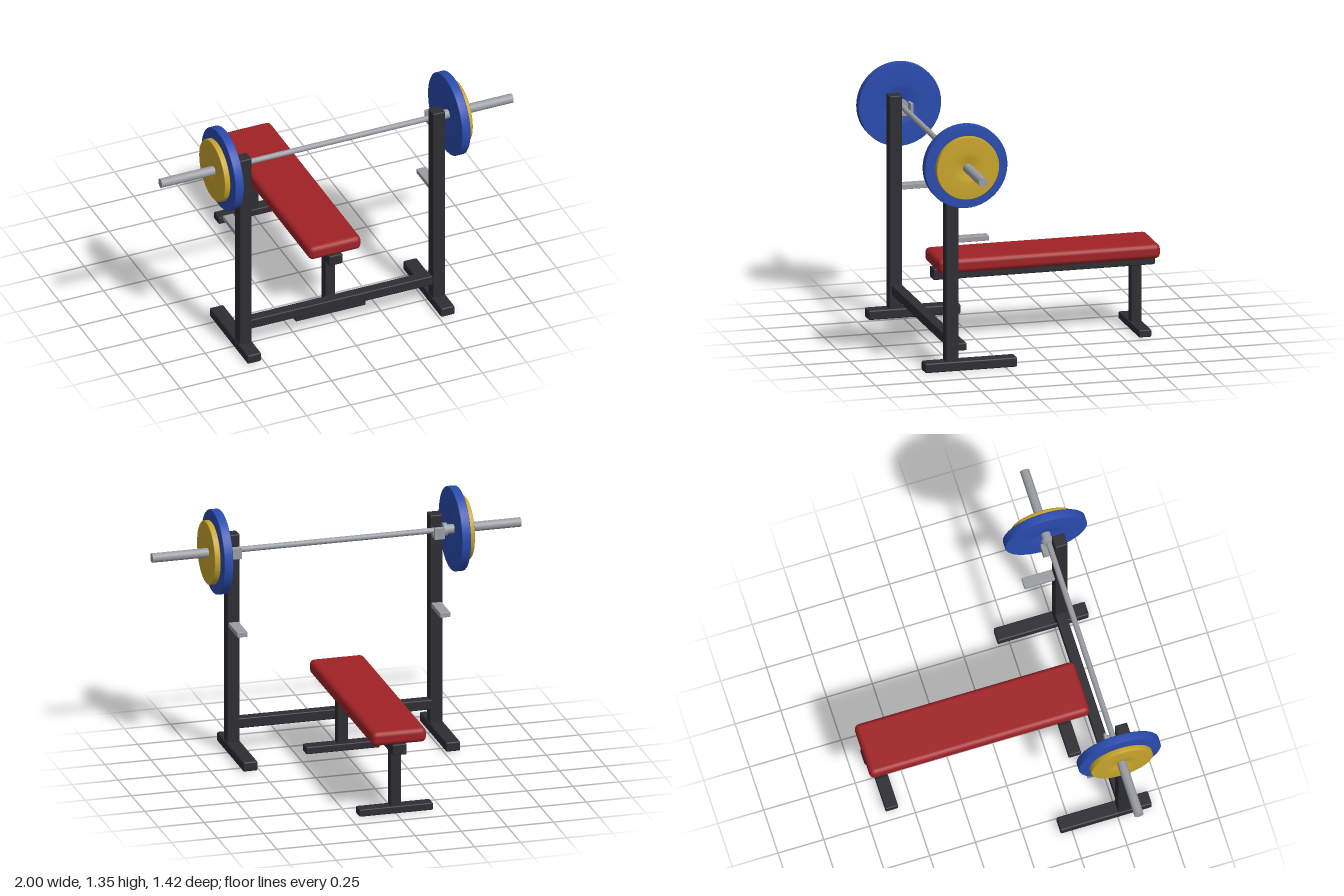
import * as THREE from 'three';
import { RoundedBoxGeometry } from 'three/addons/geometries/RoundedBoxGeometry.js';

const mat = (color) => new THREE.MeshStandardMaterial({ color });
const frameMat = mat(0x2e2e33);
const padMat = mat(0xa02226);
const steelMat = mat(0x9a9ea4);
const blueMat = mat(0x2a4cb0);
const yellowMat = mat(0xc9a62b);

export function createModel() {
  const model = new THREE.Group();
  model.name = 'benchPress';

  const add = (name, geometry, material, x = 0, y = 0, z = 0, parent = model) => {
    const mesh = new THREE.Mesh(geometry, material);
    mesh.name = name;
    mesh.position.set(x, y, z);
    parent.add(mesh);
    return mesh;
  };

  // Softened box given by its limits on each axis
  const box = (name, material, [x0, x1], [y0, y1], [z0, z1], r = 0.006, parent = model) =>
    add(name, new RoundedBoxGeometry(x1 - x0, y1 - y0, z1 - z0, 2, r), material,
      (x0 + x1) / 2, (y0 + y1) / 2, (z0 + z1) / 2, parent);

  // Cylinder along x
  const rod = (name, radius, x0, x1, parent) => {
    const g = new THREE.CylinderGeometry(radius, radius, x1 - x0, 24).rotateZ(-Math.PI / 2);
    return add(name, g, steelMat, (x0 + x1) / 2, 0, 0, parent);
  };

  // Weight plate with dished faces, turned about x
  const plate = (name, material, radius, x0, x1, parent) => {
    const h = (x1 - x0) / 2;
    const half = [[0.022, h * 0.3], [radius * 0.16, h * 0.4], [radius * 0.38, h * 0.85],
      [radius * 0.5, h], [radius - 0.004, h], [radius, h - 0.004]];
    const profile = [...half.map(([r, y]) => [r, -y]), ...half.reverse()]
      .map(([r, y]) => new THREE.Vector2(r, y));
    const g = new THREE.LatheGeometry(profile, 48).rotateZ(-Math.PI / 2);
    return add(name, g, material, (x0 + x1) / 2, 0, 0, parent);
  };

  // Bench: pad, spine and two T-shaped legs
  box('pad', padMat, [-0.148, 0.148], [0.403, 0.481], [-0.712, 0.487], 0.026);
  box('benchSpine', frameMat, [-0.038, 0.038], [0.345, 0.405], [-0.71, 0.488]);
  for (const [label, z] of [['front', 0.387], ['rear', -0.612]]) {
    box(label + 'BenchLeg', frameMat, [-0.028, 0.028], [0.03, 0.355], [z - 0.028, z + 0.028], 0.004);
    box(label + 'BenchFoot', frameMat, [-0.2, 0.2], [0, 0.04], [z - 0.034, z + 0.034]);
  }

  // Rack: mirrored uprights, feet, bar cups and safety arms
  for (const [label, s] of [['left', 1], ['right', -1]]) {
    const side = new THREE.Group();
    side.name = label + 'RackSide';
    side.position.x = s * 0.55;
    model.add(side);
    box('upright', frameMat, [-0.034, 0.034], [0.03, 1.2], [0.504, 0.572], 0.006, side);
    box('rackFoot', frameMat, [-0.039, 0.039], [0, 0.052], [0.188, 0.686], 0.008, side);
    box('barCupBase', steelMat, [-0.028, 0.028], [1.085, 1.108], [0.44, 0.51], 0.003, side);
    box('barCupLip', steelMat, [-0.028, 0.028], [1.085, 1.15], [0.44, 0.456], 0.003, side);
    box('safetyArm', steelMat, [-0.028, 0.028], [0.69, 0.717], [0.338, 0.51], 0.003, side);
  }
  box('crossbar', frameMat, [-0.53, 0.53], [0.125, 0.18], [0.503, 0.56]);

  // Barbell with mirrored collars, sleeves and plates
  const barbell = new THREE.Group();
  barbell.name = 'barbell';
  barbell.position.set(0, 1.123, 0.487);
  model.add(barbell);
  rod('bar', 0.015, -0.6, 0.6, barbell);
  for (const [label, s] of [['left', 1], ['right', -1]]) {
    const end = new THREE.Group();
    end.name = label + 'BarEnd';
    if (s < 0) end.rotation.y = Math.PI;
    barbell.add(end);
    rod('collar', 0.036, 0.577, 0.6, end);
    rod('sleeve', 0.025, 0.59, 1, end);
    plate('largePlate', blueMat, 0.224, 0.62, 0.669, end);
    plate('smallPlate', yellowMat, 0.169, 0.673, 0.706, end);
  }

  return model;
}
